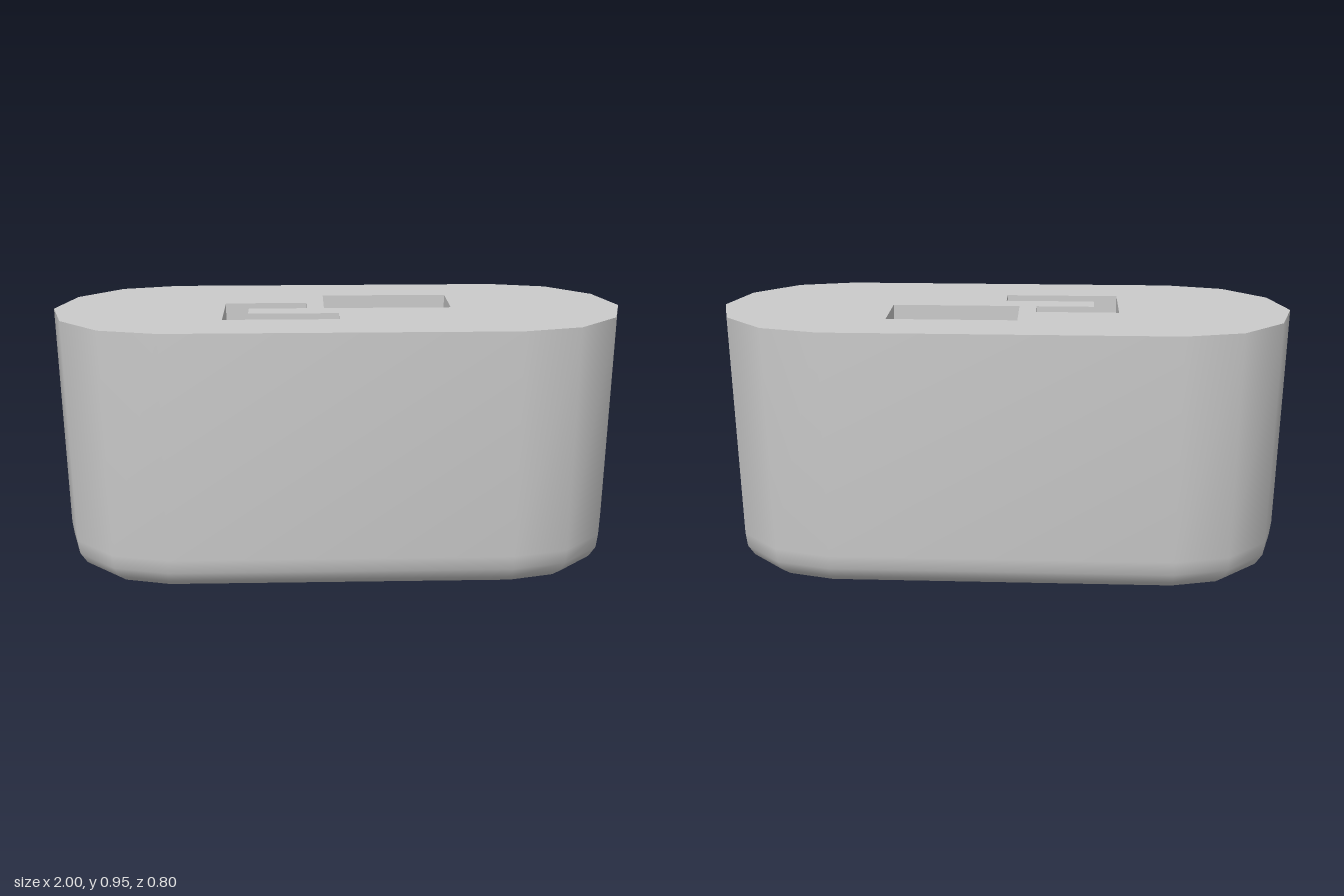
import * as THREE from 'three';
import { mergeGeometries, toCreasedNormals } from 'three/addons/utils/BufferGeometryUtils.js';

const TOP = 0.953;
const v2 = (x, z) => new THREE.Vector2(x, z);

// Faceted stadium outline in (x, z), rounded ends of six segments each
function outline(r) {
  const pts = [];
  for (const end of [0, 1]) {
    for (let i = 0; i <= 6; i++) {
      const a = -Math.PI / 2 + end * Math.PI + (i * Math.PI) / 6;
      pts.push(v2((end ? -0.6 : 0.6) + r * Math.cos(a), r * Math.sin(a)));
    }
  }
  return pts;
}

// Shallow bulge of the underside
const floorY = (p) => 0.032 * Math.min(1, Math.hypot(p.x / 0.88, p.y / 0.31)) ** 1.4;

// Band of quads between two closed rings of 3D points
function band(low, high) {
  const pos = [];
  low.forEach((a, i) => {
    const j = (i + 1) % low.length;
    for (const p of [a, high[i], low[j], low[j], high[i], high[j]]) pos.push(p.x, p.y, p.z);
  });
  const geo = new THREE.BufferGeometry();
  geo.setAttribute('position', new THREE.Float32BufferAttribute(pos, 3));
  return geo;
}

// Flat face with holes, laid down in the xz plane with height from a rule
function face(pts, holes, height, up) {
  const shape = new THREE.Shape(pts);
  shape.holes = holes.map((h) => new THREE.Path(h));
  const geo = new THREE.ShapeGeometry(shape).toNonIndexed();
  const p = geo.attributes.position;
  const pos = [];
  for (let i = 0; i < p.count; i += 3) {
    for (const k of up ? [0, 2, 1] : [0, 1, 2]) {
      const q = v2(p.getX(i + k), p.getY(i + k));
      pos.push(q.x, height(q), q.y);
    }
  }
  const out = new THREE.BufferGeometry();
  out.setAttribute('position', new THREE.Float32BufferAttribute(pos, 3));
  return out;
}

const raise = (pts, height) => pts.map((p) => new THREE.Vector3(p.x, height(p), p.y));

export function createModel() {
  const group = new THREE.Group();
  const top = () => TOP;

  // Through slots: a rectangle and a hooked slot
  const holes = [
    [[-0.05, -0.2], [0.4, -0.2], [0.4, 0.02], [-0.05, 0.02]],
    [[-0.4, -0.07], [-0.11, -0.07], [-0.11, 0.02], [-0.315, 0.02],
      [-0.315, 0.105], [0, 0.105], [0, 0.2], [-0.4, 0.2]],
  ].map((h) => h.map(([x, z]) => v2(x, z)).reverse());

  // Outer wall: slight taper, then a rounded lower edge [height, end radius]
  const profile = [[0.15, 0.388], [0.1, 0.382], [0.06, 0.357]];
  const base = outline(0.318);
  const rings = [
    raise(outline(0.402), top),
    ...profile.map(([y, r]) => raise(outline(r), () => y)),
    raise(base, floorY),
  ];
  const parts = [];
  for (let i = 0; i < rings.length - 1; i++) parts.push(band(rings[i + 1], rings[i]));

  // Top and underside
  parts.push(face(outline(0.402), holes, top, true));
  parts.push(face(base, holes, floorY, false));

  const material = new THREE.MeshStandardMaterial({ color: 0xcccccc });
  const body = new THREE.Mesh(toCreasedNormals(mergeGeometries(parts), 0.85), material);
  body.name = 'body';
  group.add(body);

  // Slot walls
  holes.forEach((h, i) => {
    const geo = band(raise(h, floorY), raise(h, top));
    geo.computeVertexNormals();
    const wall = new THREE.Mesh(geo, material);
    wall.name = i ? 'hookedSlotWalls' : 'rectangularSlotWalls';
    group.add(wall);
  });
  return group;
}
